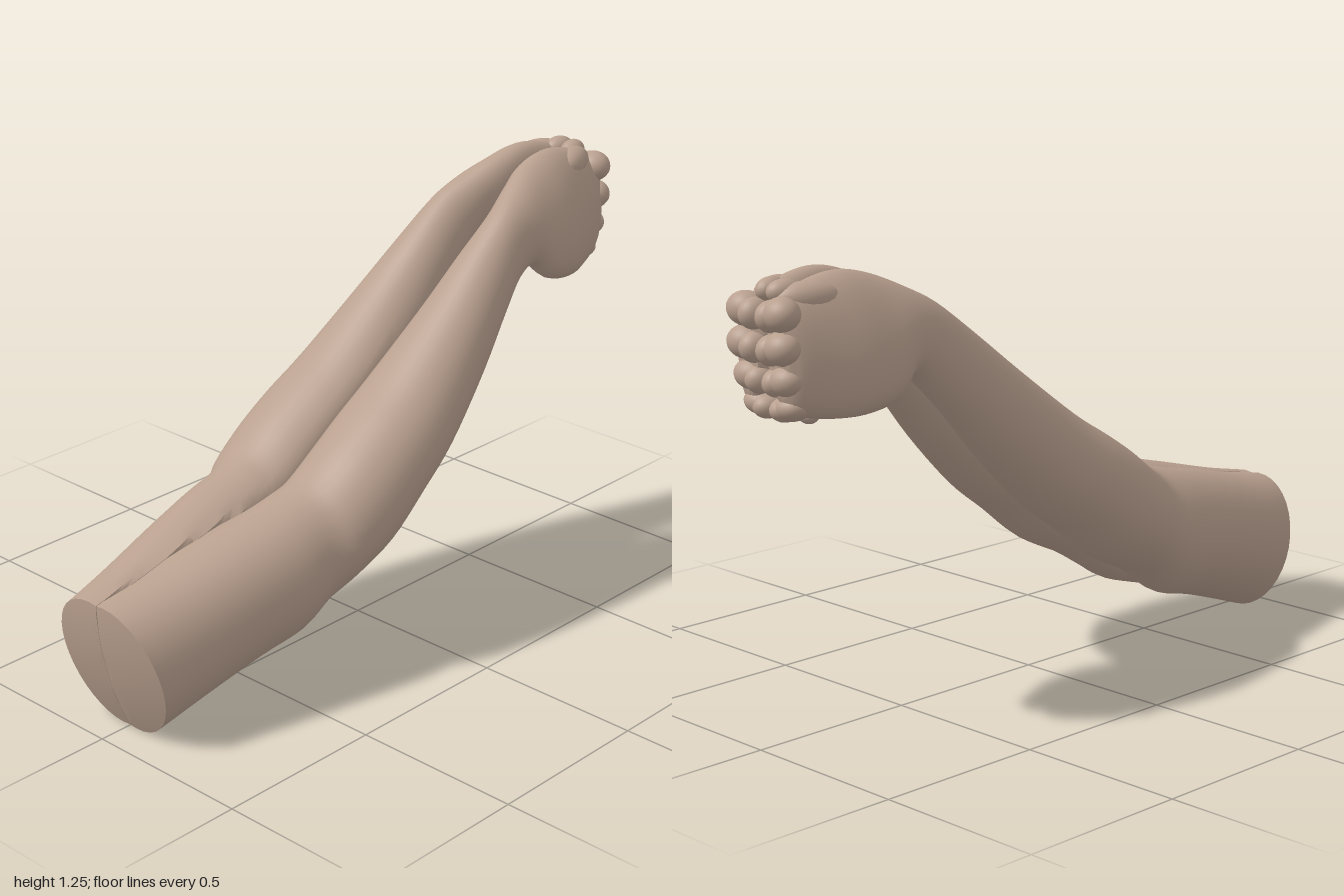
import * as THREE from 'three';
import { toCreasedNormals } from 'three/addons/utils/BufferGeometryUtils.js';

const skin = new THREE.MeshStandardMaterial({ color: 0xb9a08f });
skin.name = 'skin';

// Cross-sections from cut end to knuckles:
// [topZ, topY, bottomZ, bottomY, innerX, outerX, inward lean of the top]
const SECTIONS = [
  [1.0, 0.41, 0.9, 0.005, -0.14, 0.195, 0],
  [0.85, 0.44, 0.75, 0.058, -0.13, 0.22, 0],
  [0.65, 0.49, 0.57, 0.118, -0.1, 0.25, 0],
  [0.48, 0.53, 0.44, 0.155, -0.06, 0.27, 0],
  [0.37, 0.558, 0.35, 0.21, -0.04, 0.27, 0],
  [0.31, 0.585, 0.27, 0.262, -0.03, 0.298, 0],
  [0.22, 0.65, 0.13, 0.33, -0.03, 0.31, 0],
  [0.12, 0.715, 0.0, 0.43, -0.03, 0.305, 0],
  [0.0, 0.79, -0.14, 0.535, -0.025, 0.288, 0],
  [-0.2, 0.94, -0.3, 0.69, 0.0, 0.25, 0],
  [-0.35, 1.06, -0.43, 0.835, 0.02, 0.213, 0],
  [-0.47, 1.15, -0.52, 0.925, 0.033, 0.187, 0],
  [-0.56, 1.2, -0.585, 0.968, 0.028, 0.185, 0.02],
  [-0.65, 1.24, -0.645, 0.915, 0.018, 0.188, 0.045],
  [-0.75, 1.26, -0.75, 0.89, 0.01, 0.178, 0.045],
  [-0.85, 1.245, -0.85, 0.89, 0.0, 0.152, 0.03],
  [-0.93, 1.215, -0.93, 0.91, 0.0, 0.125, 0.015],
  [-0.965, 1.17, -0.955, 0.95, 0.02, 0.1, 0],
];
const SIDES = 36;
const STEPS = 4;

// Smooth interpolation of one section between its neighbours
function sectionAt(t) {
  const last = SECTIONS.length - 1;
  const i = Math.min(Math.floor(t), last - 1);
  const f = t - i;
  const at = (k) => SECTIONS[Math.max(0, Math.min(last, k))];
  return at(i).map((p1, c) => {
    const p0 = at(i - 1)[c], p2 = at(i + 1)[c], p3 = at(i + 2)[c];
    return p1 + 0.5 * f * (p2 - p0 + f * (2 * p0 - 5 * p1 + 4 * p2 - p3 + f * (3 * (p1 - p2) + p3 - p0)));
  });
}

// One ring of points; the arm is flattened where it meets its pair at x = 0
function ring([tz, ty, bz, by, xin, xout, lean], scale = 1, push = 0) {
  const points = [];
  for (let j = 0; j < SIDES; j++) {
    const a = (j / SIDES) * Math.PI * 2;
    const s = Math.sin(a) * scale;
    const x = (xin + xout) / 2 + ((xout - xin) / 2) * Math.cos(a) * scale - lean * s;
    points.push(Math.max(x, 0.0008), (ty + by) / 2 + ((ty - by) / 2) * s, (tz + bz) / 2 + ((tz - bz) / 2) * s + push);
  }
  return points;
}

function loft(rings, crease) {
  const index = [];
  for (let i = 0; i < rings.length - 1; i++) {
    for (let j = 0; j < SIDES; j++) {
      const k = (j + 1) % SIDES;
      const a = i * SIDES + j, b = a + SIDES, c = i * SIDES + k, d = c + SIDES;
      index.push(a, b, c, b, d, c);
    }
  }
  const g = new THREE.BufferGeometry();
  g.setAttribute('position', new THREE.Float32BufferAttribute(rings.flat(), 3));
  g.setIndex(index);
  return toCreasedNormals(g, crease);
}

function add(group, name, geometry) {
  const mesh = new THREE.Mesh(geometry, skin);
  mesh.name = name;
  group.add(mesh);
  return mesh;
}

// Rounded lump used for fingers and thumb
function lump(group, name, [x, y, z], [rx, ry, rz], [ax, ay, az] = [0, 0, 0]) {
  const mesh = add(group, name, new THREE.SphereGeometry(1, 24, 16));
  mesh.position.set(x, y, z);
  mesh.scale.set(rx, ry, rz);
  mesh.rotation.set(ax, ay, az);
}

function buildArm(name) {
  const arm = new THREE.Group();
  arm.name = name;

  // Upper arm, elbow, forearm and hand in one skin
  const rings = [];
  const count = (SECTIONS.length - 1) * STEPS;
  for (let i = 0; i <= count; i++) rings.push(ring(sectionAt(i / STEPS)));
  rings.push(ring(SECTIONS[SECTIONS.length - 1], 0.001));
  add(arm, 'armAndHand', loft(rings, 0.8));

  // Slightly domed cut end
  const caps = [0.001, 0.35, 0.65, 0.88, 1].map((s) => ring(SECTIONS[0], s, 0.025 * (1 - s * s)));
  add(arm, 'cutEnd', loft(caps, 0.6));

  // Four curled fingers: knuckle, middle joint and tip tucked in the palm
  const fingers = [
    [1.165, 0.046, -0.952, 0.098], [1.078, 0.045, -0.952, 0.1],
    [0.992, 0.042, -0.935, 0.096], [0.918, 0.036, -0.912, 0.086],
  ];
  fingers.forEach(([y, r, z, x]) => {
    lump(arm, 'fingerKnuckle', [x - 0.028, y + 0.004, z], [0.055, r, 0.048], [0, 0.25, 0.1]);
    lump(arm, 'fingerJoint', [0.034, y - 0.004, z - 0.004], [0.038, r * 0.92, 0.046]);
    lump(arm, 'fingerTip', [0.016, y - 0.02, -0.82], [0.022, r * 0.75, 0.05]);
  });

  // Small fingertip ends showing below and beside the palm
  lump(arm, 'smallFingerEnd', [0.04, 0.892, -0.845], [0.032, 0.026, 0.028]);
  lump(arm, 'fingerEnd', [0.143, 0.958, -0.83], [0.016, 0.016, 0.016]);

  // Thumb folded over the top
  lump(arm, 'thumbBase', [0.062, 1.2, -0.86], [0.045, 0.045, 0.09], [0, 0.35, 0]);
  lump(arm, 'thumbTip', [0.026, 1.218, -0.908], [0.033, 0.033, 0.048], [0, 0.2, 0]);
  return arm;
}

export function createModel() {
  const model = new THREE.Group();
  model.name = 'claspedArms';
  const left = buildArm('leftArm');
  const right = buildArm('rightArm');
  right.scale.x = -1;
  model.add(left, right);
  return model;
}
